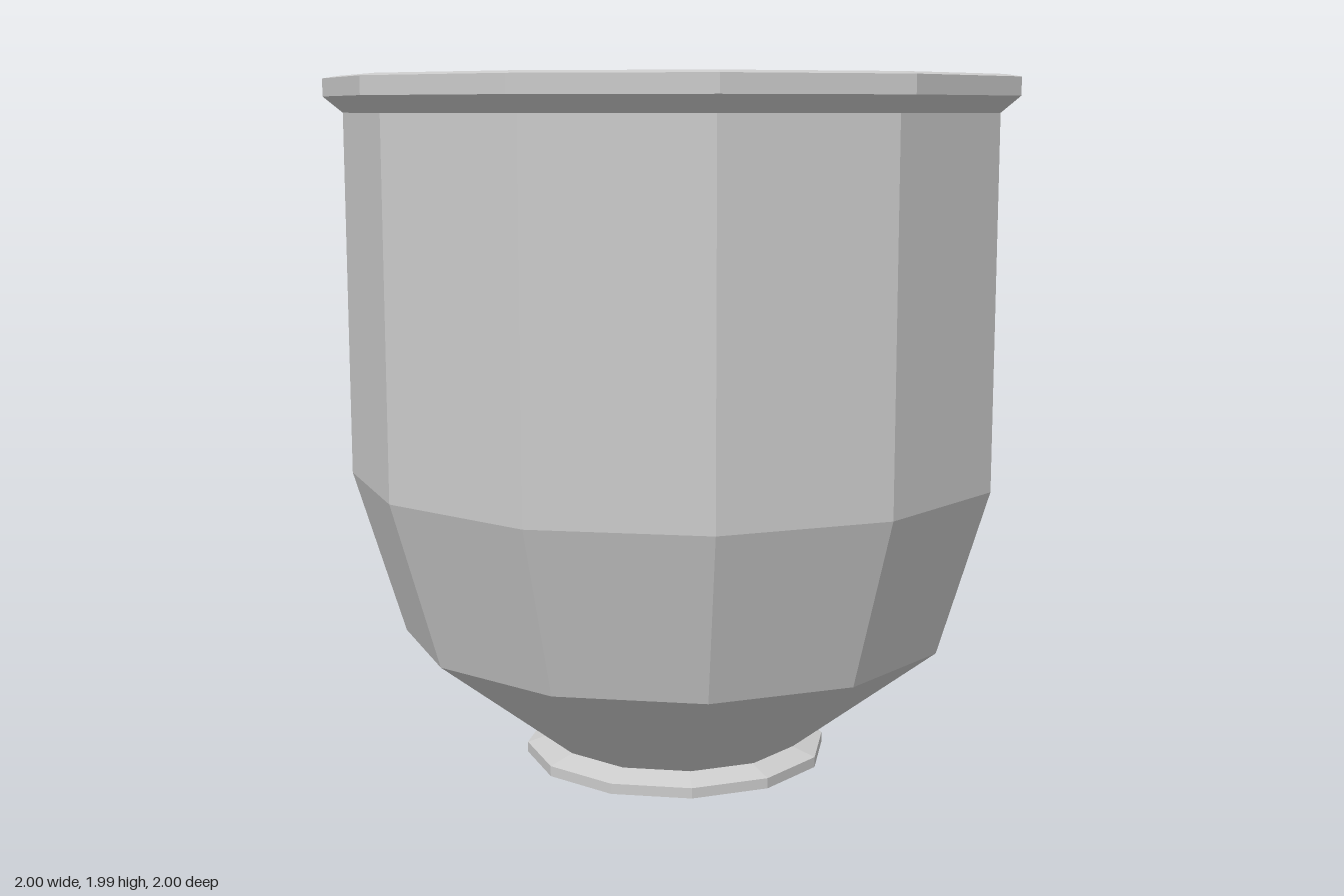
import * as THREE from 'three';

const SIDES = 12;
const material = new THREE.MeshStandardMaterial({ color: 0xcccccc, flatShading: true });

// Faceted turned part; each profile point is [radius, height, optional z shift]
function turned(name, profile) {
  const points = profile.map(([r, y]) => new THREE.Vector2(r, y));
  const geometry = new THREE.LatheGeometry(points, SIDES);
  const position = geometry.attributes.position;
  for (let i = 0; i < position.count; i++) {
    const shift = profile[i % profile.length][2] || 0;
    position.setZ(i, position.getZ(i) + shift);
  }
  const mesh = new THREE.Mesh(geometry, material);
  mesh.name = name;
  return mesh;
}

export function createModel() {
  const group = new THREE.Group();
  group.name = 'pot';

  // Thin base disc with a bevelled upper edge
  const foot = turned('foot', [
    [0, 0], [0.445, 0], [0.445, 0.03], [0.37, 0.055],
  ]);
  foot.position.x = -0.004;

  // Outer wall, flared rim, and hollow inside down to the floor
  const bowl = turned('bowl', [
    [0.37, 0.05], [0.8, 0.385], [0.945, 0.86], [0.945, 1.89],
    [1, 1.935], [1, 1.985], [0.955, 1.992],
    [0.825, 1.992, -0.009], [0.825, 0.92, -0.009],
    [0.517, 0.3, -0.009], [0, 0.3, -0.009],
  ]);

  group.add(foot, bowl);
  return group;
}
